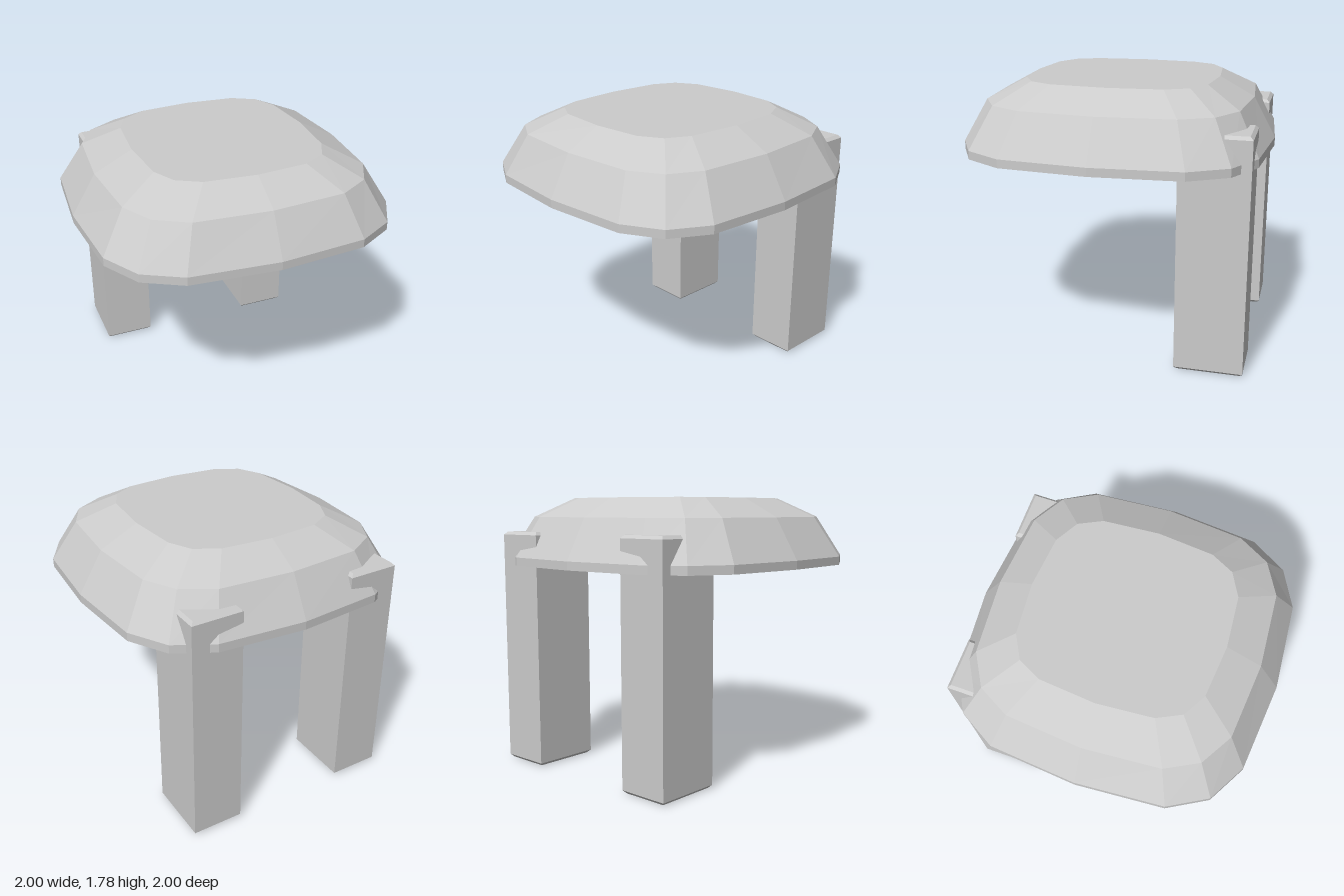
import * as THREE from 'three';

// Skins a stack of horizontal rings, each an array of [x, y, z] running from +x towards +z.
function loft(rings, capBottom, capTop) {
  const n = rings[0].length;
  const index = [];
  for (let r = 0; r < rings.length - 1; r++) {
    for (let i = 0; i < n; i++) {
      const a = r * n + i, b = r * n + (i + 1) % n;
      index.push(a, a + n, b, b, a + n, b + n);
    }
  }
  const top = (rings.length - 1) * n;
  for (let i = 1; i < n - 1; i++) {
    if (capBottom) index.push(0, i, i + 1);
    if (capTop) index.push(top, top + i + 1, top + i);
  }
  const geo = new THREE.BufferGeometry();
  geo.setAttribute('position', new THREE.Float32BufferAttribute(rings.flat(2), 3));
  geo.setIndex(index);
  const flat = geo.toNonIndexed();
  flat.computeVertexNormals();
  return flat;
}

// Mirrors the points of one quarter (side middle to front middle) into a closed ring.
function quarterRing(y, quarter) {
  const inner = quarter.slice(1, -1);
  const back = [...inner].reverse();
  const [side, front] = [quarter[0], quarter[quarter.length - 1]];
  return [
    side, ...inner, front,
    ...back.map(([x, z]) => [-x, z]), [-side[0], 0],
    ...inner.map(([x, z]) => [-x, -z]), [0, -front[1]],
    ...back.map(([x, z]) => [x, -z]),
  ].map(([x, z]) => [x, y, z]);
}

function boxRing(y, w, d) {
  return [[w, y, -d], [w, y, d], [-w, y, d], [-w, y, -d]];
}

export function createModel() {
  const model = new THREE.Group();
  const grey = new THREE.MeshStandardMaterial({ color: 0xcccccc, flatShading: true });
  const shell = grey.clone();
  shell.side = THREE.DoubleSide;

  // Hollow faceted canopy, open underneath
  const rim = [[1, 0], [0.955, 0.57], [0.815, 0.815], [0.57, 0.95], [0, 1]];
  const shoulder = [[0.84, 0], [0.8, 0.49], [0.69, 0.695], [0.485, 0.815], [0, 0.855]];
  const crown = [[0.59, 0], [0.56, 0.36], [0.485, 0.51], [0.335, 0.595], [0, 0.625]];
  const canopy = new THREE.Mesh(loft([
    quarterRing(1.34, rim),
    quarterRing(1.395, rim),
    quarterRing(1.66, shoulder),
    quarterRing(1.785, crown),
  ], false, true), shell);
  canopy.name = 'canopy';
  model.add(canopy);

  // Two square posts with bevelled ends, rising through the back of the canopy
  const w = 0.17, d = 0.222, bevel = 0.02;
  const postGeo = loft([
    boxRing(0, w - bevel, d - bevel),
    boxRing(bevel, w, d),
    boxRing(1.563 - bevel, w, d),
    boxRing(1.563, w - bevel, d - bevel),
  ], true, true);
  for (const [name, side] of [['leftPost', 1], ['rightPost', -1]]) {
    const post = new THREE.Mesh(postGeo, grey);
    post.name = name;
    post.position.set(side * 0.56, 0, -0.704);
    model.add(post);
  }
  return model;
}
